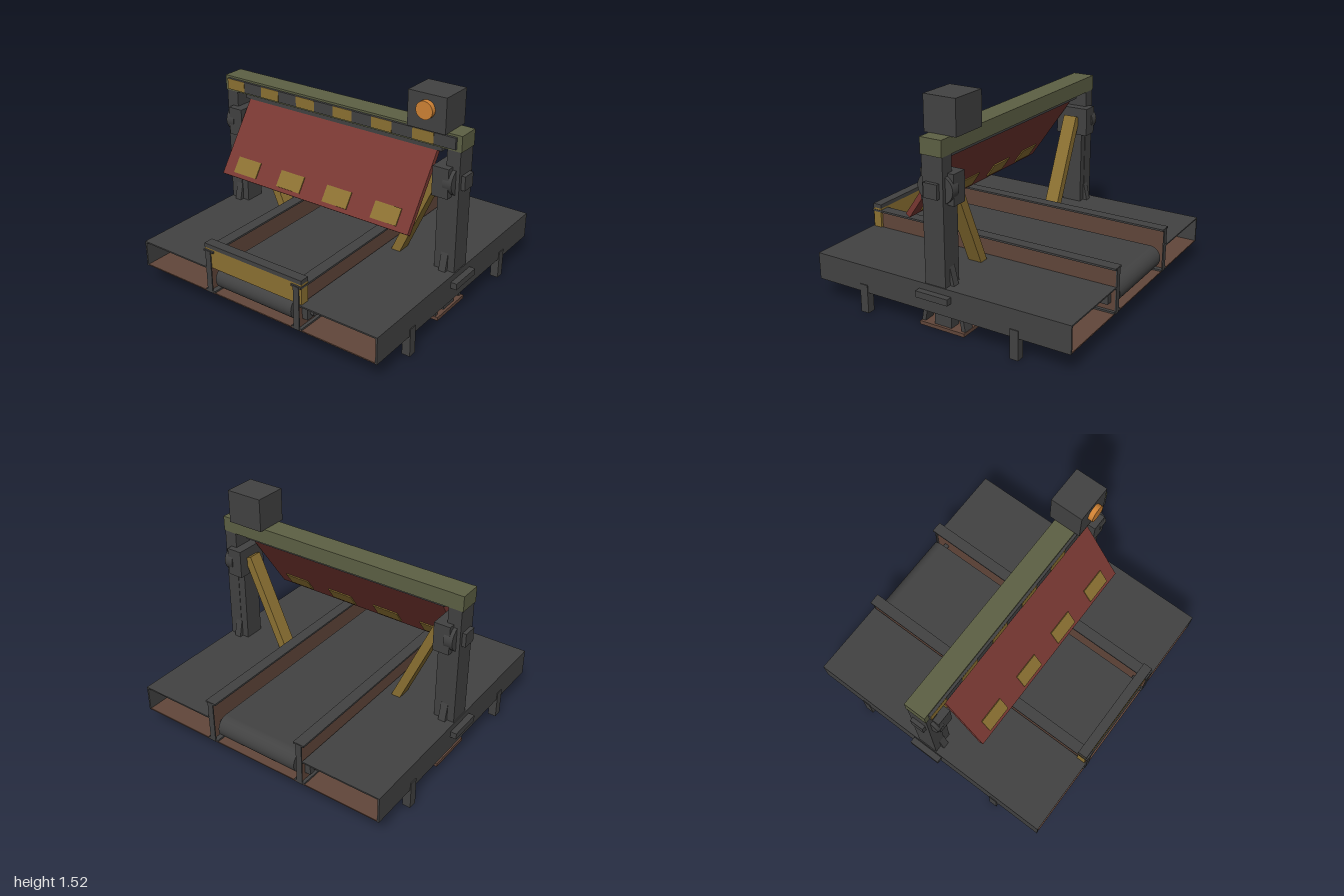
import * as THREE from 'three';

const mat = (name, color) => {
  const m = new THREE.MeshStandardMaterial({ color });
  m.name = name;
  return m;
};

export function createModel() {
  const dark = mat('dark steel', 0x424242);
  const brown = mat('rusty brown', 0x61463a);
  const red = mat('shutter red', 0x783832);
  const yellow = mat('hazard yellow', 0x8c7132);
  const olive = mat('olive paint', 0x5d6044);
  const orange = mat('lamp orange', 0xcf8234);

  const model = new THREE.Group();
  model.name = 'conveyorGate';

  const add = (name, geo, material, parent = model) => {
    const mesh = new THREE.Mesh(geo, material);
    mesh.name = name;
    parent.add(mesh);
    return mesh;
  };
  // Box given by its limits on each axis
  const box = (name, material, x0, x1, y0, y1, z0, z1, parent = model) => {
    const mesh = add(name, new THREE.BoxGeometry(Math.abs(x1 - x0), y1 - y0, z1 - z0), material, parent);
    mesh.position.set((x0 + x1) / 2, (y0 + y1) / 2, (z0 + z1) / 2);
    return mesh;
  };
  // Same box on both sides
  const pair = (name, material, x0, x1, y0, y1, z0, z1) => {
    for (const s of [1, -1]) box(name, material, s * x0, s * x1, y0, y1, z0, z1);
  };
  // Outline in (z, y), extruded along x from x0 to x1
  const extrudeX = (name, material, shape, x0, x1) => {
    const geo = new THREE.ExtrudeGeometry(shape, { depth: x1 - x0, bevelEnabled: false, curveSegments: 20 });
    geo.rotateY(-Math.PI / 2); // shape x becomes z, depth becomes -x
    geo.translate(x1, 0, 0);
    return add(name, geo, material);
  };
  const cylX = (name, material, r, x0, x1, y, z, sides = 24) => {
    const geo = new THREE.CylinderGeometry(r, r, Math.abs(x1 - x0), sides).rotateZ(Math.PI / 2);
    const mesh = add(name, geo, material);
    mesh.position.set((x0 + x1) / 2, y, z);
    return mesh;
  };
  const poly = (pts) => new THREE.Shape(pts.map(([a, b]) => new THREE.Vector2(a, b)));

  // Platform: open-ended hollow deck
  box('floorPlate', brown, -0.95, 0.95, 0.148, 0.156, -0.955, 0.955);
  pair('deckPlate', dark, 0.385, 0.957, 0.325, 0.335, -0.957, 0.957);
  pair('sideWall', dark, 0.945, 0.957, 0.147, 0.335, -0.957, 0.957);
  pair('sidePlate', dark, 0.955, 1.0, 0.247, 0.291, -0.12, 0.122);

  // Conveyor belt loop with rounded ends
  const r = 0.08, ze = 0.87, yc = 0.255;
  const loop = new THREE.Shape();
  loop.moveTo(-ze, yc - r);
  loop.lineTo(ze, yc - r);
  loop.absarc(ze, yc, r, -Math.PI / 2, Math.PI / 2, false);
  loop.lineTo(-ze, yc + r);
  loop.absarc(-ze, yc, r, Math.PI / 2, Math.PI * 1.5, false);
  extrudeX('belt', dark, loop, -0.312, 0.312);
  for (const z of [ze, -ze]) {
    cylX('rollerAxle', dark, 0.02, -0.44, 0.44, yc, z, 12);
    for (const s of [1, -1]) box('axleBearing', dark, s * 0.375, s * 0.42, 0.22, 0.31, z - 0.05, z + 0.05);
  }

  // Conveyor rails
  pair('railWeb', brown, 0.355, 0.378, 0.156, 0.452, -0.955, 0.955);
  pair('railTopFlange', dark, 0.32, 0.4, 0.45, 0.463, -0.957, 0.957);
  pair('railBottomFlange', dark, 0.32, 0.4, 0.156, 0.168, -0.957, 0.957);
  for (const z of [0.955, -0.955]) pair('railEndPost', dark, 0.34, 0.383, 0.15, 0.46, z - 0.004, z + 0.004);

  // Front guard across the conveyor
  box('guardPanel', yellow, -0.396, 0.396, 0.335, 0.476, 0.882, 0.945);
  box('guardCap', dark, -0.396, 0.396, 0.476, 0.505, 0.88, 0.948);

  // Platform legs
  for (const z of [0.575, -0.575]) {
    pair('outerLeg', dark, 0.905, 0.963, 0, 0.2, z - 0.03, z + 0.03);
    pair('innerLeg', dark, 0.338, 0.397, 0.01, 0.15, z - 0.03, z + 0.03);
    pair('innerFoot', dark, 0.3, 0.43, 0, 0.013, z - 0.068, z + 0.068);
    box('legCrossbar', dark, -0.34, 0.34, 0.067, 0.108, z - 0.02, z + 0.02);
  }

  // Gantry columns, feet and gussets
  pair('column', dark, 0.855, 0.95, 0.15, 1.19, -0.076, 0.076);
  pair('columnSleeve', dark, 0.8, 0.94, 0.33, 0.9, -0.073, 0.073);
  pair('columnLeg', dark, 0.8, 0.882, 0.02, 0.34, -0.065, 0.065);
  pair('footPlate', brown, 0.73, 0.9, 0, 0.025, -0.17, 0.17);
  for (const s of [1, -1]) {
    const [a, b] = s > 0 ? [0.85, 0.9] : [-0.9, -0.85];
    extrudeX('columnGusset', dark, poly([[-0.105, 0.335], [0.105, 0.335], [0.076, 0.46], [-0.076, 0.46]]), a, b);
    const [c, d] = s > 0 ? [0.8, 0.88] : [-0.88, -0.8];
    extrudeX('frontStrut', dark, poly([[0.14, 0.025], [0.168, 0.025], [0.145, 0.15], [0.115, 0.15]]), c, d);
    extrudeX('rearStrut', dark, poly([[-0.168, 0.025], [-0.14, 0.025], [-0.115, 0.15], [-0.145, 0.15]]), c, d);

    // Pivot hub
    box('hubBox', dark, s * 0.785, s * 0.9, 0.865, 1.068, -0.12, 0.125);
    cylX('hubDisc', dark, 0.13, s * 0.86, s * 0.925, 0.965, 0, 32).scale.set(1, 0.8, 1);
    box('hubStub', dark, s * 0.94, s * 0.977, 0.915, 1.012, -0.05, 0.05);

    // Diagonal brace from hub to conveyor
    const top = new THREE.Vector2(0.78, 1.0), end = new THREE.Vector2(0.435, 0.22);
    const dir = top.clone().sub(end);
    const brace = add('diagonalBrace', new THREE.BoxGeometry(0.062, dir.length(), 0.1), yellow);
    brace.position.set(s * (top.x + end.x) / 2, (top.y + end.y) / 2, 0);
    brace.rotation.z = -s * Math.atan2(dir.x, dir.y);
    box('braceFoot', yellow, s * 0.4, s * 0.46, 0.16, 0.27, -0.05, 0.05);
  }

  // Top beam with hazard strip
  box('topBeam', olive, -0.957, 0.957, 1.178, 1.286, -0.077, 0.08);
  box('hazardBacking', dark, -0.922, 0.922, 1.194, 1.272, 0.08, 0.098);
  const step = 1.844 / 12;
  for (let i = 0; i < 12; i += 2) {
    const x = -0.922 + i * step;
    box('hazardStripe', yellow, x, x + step, 1.195, 1.271, 0.097, 0.1);
  }
  box('hingeBar', dark, -0.8, 0.8, 1.135, 1.17, -0.025, 0.045);

  // Tilted shutter, hinged under the beam
  const shutter = new THREE.Group();
  shutter.name = 'shutter';
  shutter.position.set(0, 1.155, 0.005);
  shutter.rotation.x = -0.605;
  model.add(shutter);
  box('shutterPanel', red, -0.768, 0.765, -0.595, 0, -0.018, 0.018, shutter);
  for (const x of [-0.575, -0.195, 0.19, 0.572]) {
    for (const z of [0.0215, -0.0215]) {
      box('shutterPatch', yellow, x - 0.098, x + 0.098, -0.565, -0.45, z - 0.004, z + 0.004, shutter);
    }
  }

  // Control box and warning lamp
  box('controlBox', dark, 0.587, 0.86, 1.284, 1.52, -0.117, 0.118);
  const lamp = add('warningLamp', new THREE.CylinderGeometry(0.06, 0.06, 0.036, 16).rotateX(Math.PI / 2), orange);
  lamp.position.set(0.724, 1.422, 0.134);

  return model;
}
